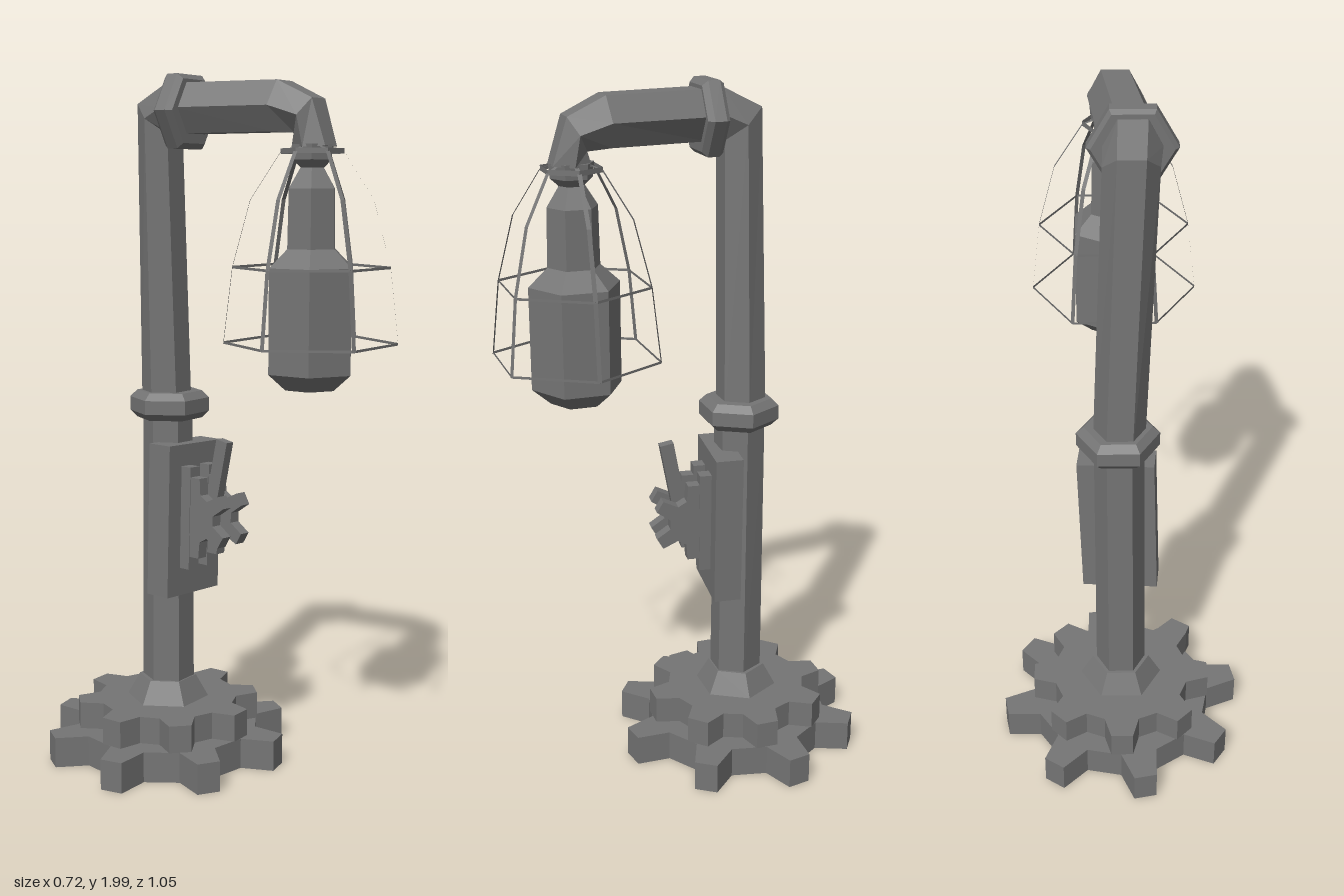
import * as THREE from 'three';

const metal = new THREE.MeshStandardMaterial({ color: 0x757575, flatShading: true, side: THREE.DoubleSide });
metal.name = 'grey metal';

function add(parent, name, geometry, x = 0, y = 0, z = 0) {
  const mesh = new THREE.Mesh(geometry, metal);
  mesh.name = name;
  mesh.position.set(x, y, z);
  parent.add(mesh);
  return mesh;
}

// Flat gear with tapered teeth, extruded along +z
function gear(teeth, rRoot, rTip, rootHalf, tipHalf, depth, offset = 0) {
  const points = [];
  for (let i = 0; i < teeth; i++) {
    const a = offset + (i / teeth) * Math.PI * 2;
    for (const [r, d] of [[rRoot, -rootHalf], [rTip, -tipHalf], [rTip, tipHalf], [rRoot, rootHalf]]) {
      points.push(new THREE.Vector2(Math.cos(a + d) * r, Math.sin(a + d) * r));
    }
  }
  return new THREE.ExtrudeGeometry(new THREE.Shape(points), { depth, bevelEnabled: false });
}

// Closed six-sided lathe from [radius, y] pairs; turn = 0 puts a corner on +z
function hexLathe(profile, turn = 0) {
  const points = profile.map(([r, y]) => new THREE.Vector2(r, y));
  return new THREE.LatheGeometry(points, 6, turn);
}

// Hexagonal pipe; each section is [centre x, half width, outer z, outer y, inner z, inner y]
function hexPipe(sections) {
  const positions = [], index = [];
  for (const [x, w, oz, oy, iz, iy] of sections) {
    const mz = (oz + iz) / 2, my = (oy + iy) / 2;
    positions.push(
      x + w, my, mz, x + w / 2, iy, iz, x - w / 2, iy, iz,
      x - w, my, mz, x - w / 2, oy, oz, x + w / 2, oy, oz);
  }
  const last = (sections.length - 1) * 6;
  for (let s = 0; s < last; s += 6) {
    for (let i = 0; i < 6; i++) {
      const a = s + i, b = s + (i + 1) % 6;
      index.push(a, a + 6, b, b, a + 6, b + 6);
    }
  }
  for (let i = 1; i < 5; i++) {
    index.push(0, i, i + 1, last, last + i + 1, last + i);
  }
  const geometry = new THREE.BufferGeometry();
  geometry.setAttribute('position', new THREE.Float32BufferAttribute(positions, 3));
  geometry.setIndex(index);
  geometry.computeVertexNormals();
  return geometry;
}

// Flat strip following [radius, y] points outward along +x
function ribbon(path, width) {
  const positions = [], index = [];
  path.forEach(([r, y], i) => {
    positions.push(r, y, -width / 2, r, y, width / 2);
    if (i) {
      const k = i * 2;
      index.push(k - 2, k - 1, k, k - 1, k + 1, k);
    }
  });
  const geometry = new THREE.BufferGeometry();
  geometry.setAttribute('position', new THREE.Float32BufferAttribute(positions, 3));
  geometry.setIndex(index);
  geometry.computeVertexNormals();
  return geometry;
}

export function createModel() {
  const model = new THREE.Group();
  model.name = 'gearLamp';
  const poleZ = -0.16, side = Math.PI / 2;

  // Stacked gear base
  add(model, 'lowerGear', gear(8, 0.27, 0.362, 0.2, 0.093, 0.09, 0.19), 0, 0, poleZ).rotation.x = -side;
  add(model, 'upperGear', gear(8, 0.207, 0.27, 0.25, 0.12, 0.08), 0, 0.09, poleZ).rotation.x = -side;
  add(model, 'poleFoot', hexLathe([[0, 0.165], [0.122, 0.17], [0.085, 0.235], [0, 0.235]], side), 0, 0, poleZ);

  // Leaning pole and curved arm
  add(model, 'pole', hexPipe([
    [0, 0.074, -0.225, 0.2, -0.09, 0.2],
    [0.005, 0.07, -0.223, 1.05, -0.095, 1.05],
    [0.005, 0.072, -0.225, 1.06, -0.1, 1.06],
    [-0.025, 0.072, -0.21, 1.915, -0.105, 1.83],
    [-0.03, 0.075, -0.1, 1.97, -0.09, 1.83],
    [-0.027, 0.08, -0.05, 1.967, -0.05, 1.83],
    [0.01, 0.074, 0.235, 1.965, 0.22, 1.83],
    [0.014, 0.068, 0.34, 1.915, 0.288, 1.825],
    [0.015, 0.06, 0.38, 1.79, 0.275, 1.785],
  ]));
  const collar = [[0, 0], [0.095, 0], [0.116, 0.02], [0.116, 0.06], [0.095, 0.08], [0, 0.08]];
  add(model, 'poleCollar', hexLathe(collar, side), 0.008, 1.02, -0.155);
  const ring = [[0, 0], [0.105, 0], [0.116, 0.012], [0.116, 0.045], [0.1, 0.06], [0, 0.06]];
  add(model, 'armCollar', hexLathe(ring, side), -0.03, 1.89, -0.095).rotation.x = side;

  // Switch box with two toothed wheels and a lever
  const box = new THREE.Group();
  box.name = 'switchBox';
  box.position.set(0.005, 0.73, -0.1);
  box.rotation.set(0, -0.1, -0.03);
  model.add(box);
  add(box, 'backPlate', new THREE.BoxGeometry(0.22, 0.445, 0.08));
  for (const x of [-0.04, 0.04]) {
    add(box, 'wheelBracket', new THREE.BoxGeometry(0.038, 0.3, 0.035), x, 0.01, 0.057);
    add(box, 'toothedWheel', gear(6, 0.072, 0.118, 0.32, 0.16, 0.034, Math.PI / 6), x + 0.017, 0.015, 0.09)
      .rotation.y = -side;
  }
  add(box, 'lever', new THREE.BoxGeometry(0.028, 0.19, 0.04), -0.01, 0.15, 0.142).rotation.x = 0.19;

  // Hanging lamp
  const lamp = new THREE.Group();
  lamp.name = 'lamp';
  lamp.position.set(0.014, 0, 0.323);
  model.add(lamp);
  add(lamp, 'bulb', hexLathe([
    [0, 1.14], [0.075, 1.14], [0.127, 1.185], [0.127, 1.47], [0.073, 1.52],
    [0.07, 1.68], [0.035, 1.735], [0.03, 1.76], [0, 1.76],
  ]));
  add(lamp, 'socket', hexLathe([[0, 1.725], [0.03, 1.73], [0.058, 1.755], [0.062, 1.795], [0, 1.795]]));

  // Wire cage of flat strips and thin hoops
  for (const [radius, y, height] of [[0.085, 1.778, 0.014], [0.213, 1.47, 0.007], [0.237, 1.265, 0.007]]) {
    add(lamp, 'cageHoop', new THREE.CylinderGeometry(radius, radius, height, 6, 1, true), 0, y, 0)
      .rotation.y = side;
  }
  const strip = ribbon([[0.05, 1.79], [0.085, 1.775], [0.165, 1.65], [0.213, 1.47], [0.237, 1.263]], 0.012);
  for (let i = 0; i < 6; i++) {
    add(lamp, 'cageStrip', strip).rotation.y = (i * Math.PI) / 3;
  }
  return model;
}
